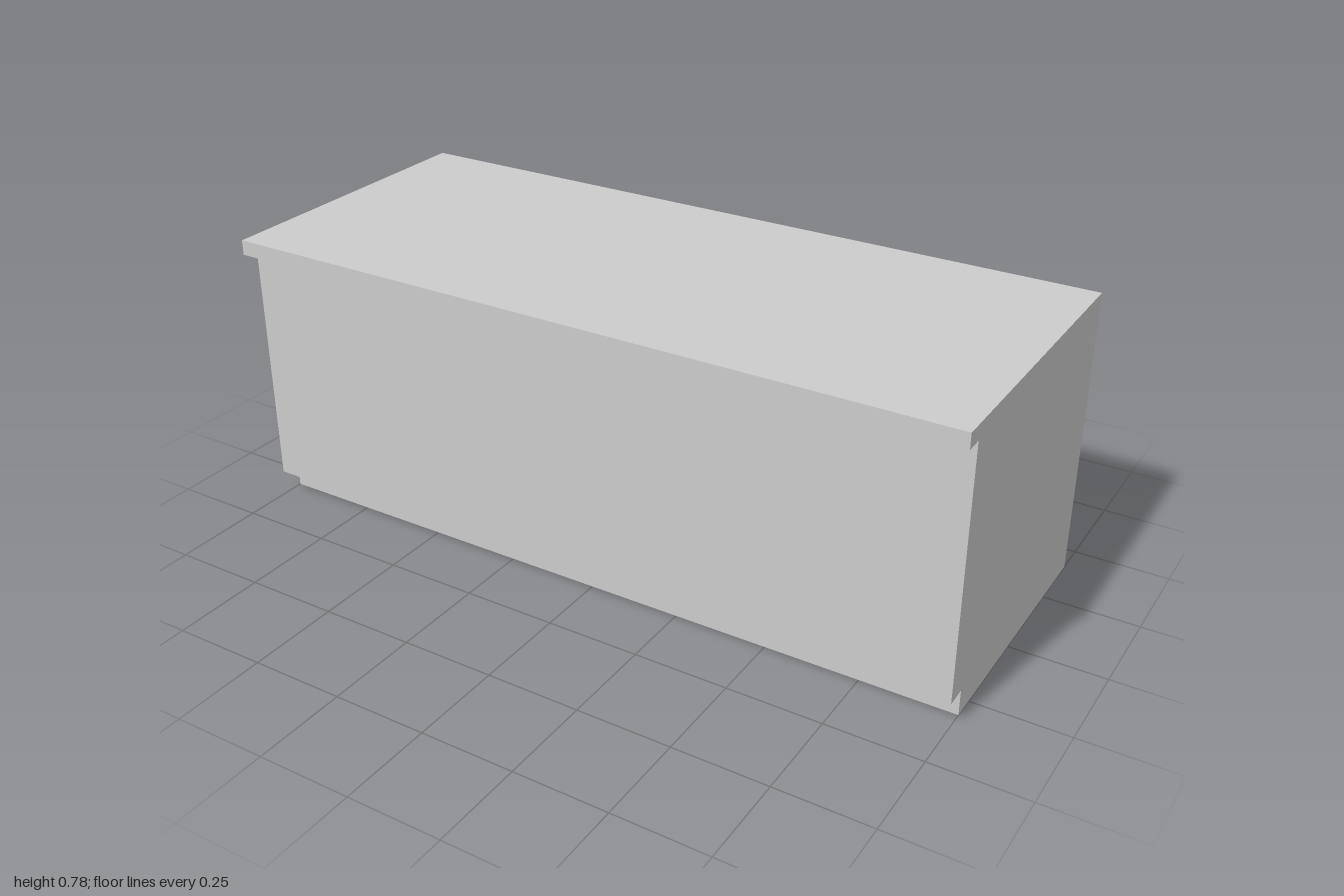
import * as THREE from 'three';

const WIDTH = 2;
const BACK = -0.415;

// Side profile as [z, y]: recessed toe kick, cabinet front, overhanging top
const PROFILE = [
  [BACK, 0], [0.31, 0],
  [0.31, 0.069], [0.368, 0.069],
  [0.368, 0.738], [0.415, 0.738],
  [0.415, 0.778], [BACK, 0.778],
];

export function createModel() {
  const group = new THREE.Group();
  group.name = 'counter';

  // One solid body, extruded across the width
  const shape = new THREE.Shape(PROFILE.map(([z, y]) => new THREE.Vector2(z, y)));
  const geometry = new THREE.ExtrudeGeometry(shape, { depth: WIDTH, bevelEnabled: false });
  geometry.rotateY(-Math.PI / 2); // profile axis becomes z, depth runs along x
  geometry.translate(WIDTH / 2, 0, 0);

  const material = new THREE.MeshStandardMaterial({ color: 0xcccccc, flatShading: true });
  const body = new THREE.Mesh(geometry, material);
  body.name = 'counterBody';
  group.add(body);
  return group;
}
